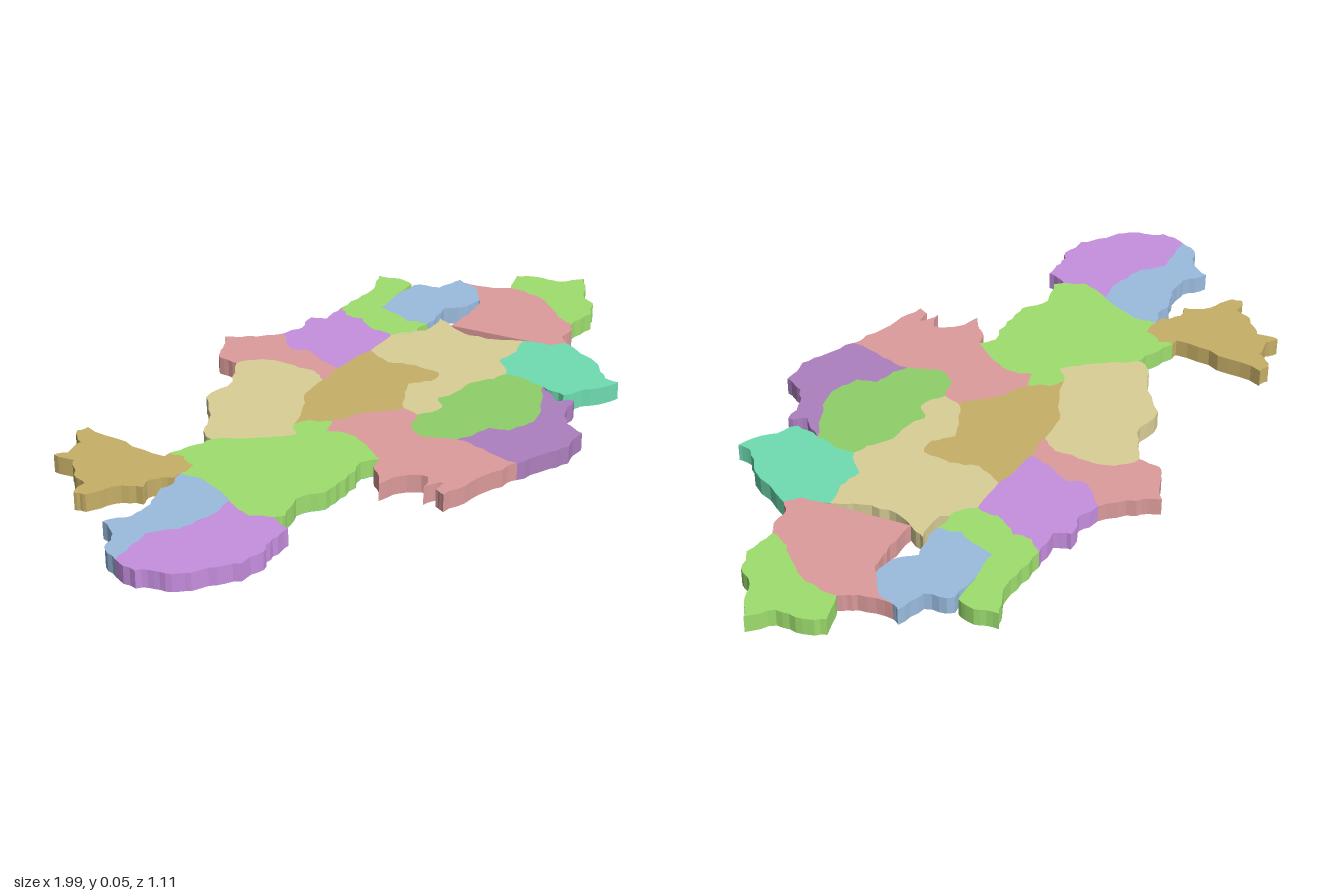
import * as THREE from 'three';

const HEIGHT = 0.05;
const OCHRE = 0xc8b068, SAND = 0xdacf97, PINK = 0xdd9c9c, GREEN = 0x9fdf6f, LEAF = 0x8fd06a,
  BLUE = 0x9bbde0, LILAC = 0xc78fe0, PURPLE = 0xae80c0, MINT = 0x70ddb2;

// Border lines as x, z pairs in hundredths; neighbouring districts share them.
const borders = {
  // north-west island, west coast and their neighbours
  AD: [-53, -25, -52, -21, -54, -16, -59, -16],
  Aout: [-59, -16, -62, -16, -66, -20, -70, -19, -74, -25, -81, -28, -82, -31, -77, -32, -76, -36,
    -73, -39, -70, -42, -71, -48, -68, -46, -62, -47, -58, -52, -55, -51, -55, -38, -55, -25, -53, -25],
  BD: [-59, -16, -58, -10, -60, -3, -62, 2],
  Bout: [-59, -16, -64, -14, -68, -15, -75, -12, -82, -12, -88, -16, -91, -10, -96, -8, -99, -2],
  BC: [-99, -2, -93, -3, -86, -4, -80, 1, -72, 3, -66, 3, -62, 2],
  CD: [-62, 2, -64, 6, -65, 11, -62, 16],
  Cout: [-62, 16, -64, 22, -70, 22, -76, 24, -83, 23, -89, 18, -94, 15, -97, 10, -100, 5, -99, -2],
  Dtop: [-53, -25, -47, -23, -41, -21],
  Dbot: [-62, 16, -60, 18, -52, 15, -45, 19, -37, 19, -28, 17, -24, 20],
  DE: [-41, -21, -32, -10, -26, -5, -22, -9],
  DF: [-22, -9, -18, -7, -15, -2],
  DG: [-15, -2, -20, 0, -18, 6, -20, 13, -24, 20],
  // centre
  Eout: [-41, -21, -40, -24, -34, -28, -24, -37, -13, -37, -4, -43],
  EF: [-22, -9, -13, -13, -7, -17, 2, -18],
  EN: [-4, -43, 2, -39, 4, -32, 5, -23, 2, -18],
  FN: [2, -18, 10, -19],
  FO: [10, -19, 24, -18],
  FH: [24, -18, 21, -10, 24, -3, 24, 5, 19, 6, 14, 2, 8, 5, 2, 9],
  FG: [2, 9, -1, 7, -8, 1, -15, -2],
  // south
  GH: [2, 9, 1, 14],
  GI: [1, 14, -5, 16, -8, 22, -5, 27, -4, 30],
  GJ: [-4, 30, -4, 38, -5, 49],
  Gout: [-5, 49, -10, 48, -20, 45, -29, 43, -28, 40, -24, 40, -29, 37, -24, 35, -28, 29, -34, 27,
    -29, 22, -24, 20],
  HI: [1, 14, 8, 17, 12, 13, 18, 15, 24, 15, 30, 19, 34, 20],
  IK: [34, 20, 35, 26, 34, 32],
  IJ: [34, 32, 27, 36, 22, 39, 14, 40, 8, 38, 6, 33, 0, 32, -4, 30],
  Jout: [34, 32, 29, 39, 32, 43, 24, 45, 20, 48, 18, 54, 10, 55, 3, 52, -5, 49],
  Kout: [34, 32, 33, 39, 40, 43, 48, 47, 48, 43, 54, 37, 60, 23],
  HK: [34, 20, 40, 14, 47, 15, 54, 13],
  KL: [54, 13, 56, 20, 60, 23],
  // east
  HL: [54, 13, 51, 8, 48, -1, 50, -9],
  Hout: [50, -9, 52, -14, 43, -13, 35, -19],
  HO: [35, -19, 24, -18],
  Lgap: [50, -9, 59, -9, 64, -10, 69, -12],
  LQ: [69, -12, 75, -17, 76, -22],
  Lr: [76, -22, 78, -13, 81, -9],
  LM: [81, -9, 81, 0, 77, 7, 73, 12, 71, 18],
  Lbot: [71, 18, 68, 20, 64, 20, 60, 23],
  Mout: [81, -9, 89, -12, 92, -7, 93, 0, 99, 5, 95, 8, 89, 11, 86, 16, 80, 19, 71, 18],
  // north-east
  Nout: [-4, -43, -4, -49, 1, -52, 7, -56, 11, -51, 18, -44],
  NO: [18, -44, 12, -37, 14, -32, 11, -25, 10, -19],
  Otop: [18, -44, 24, -42, 31, -44, 33, -40, 41, -41],
  OP: [41, -41, 38, -37, 39, -32, 35, -25, 35, -19],
  Ptop: [41, -41, 51, -41, 59, -42, 65, -45, 67, -39, 66, -34, 56, -33],
  PQ: [56, -33, 48, -32, 47, -25, 45, -21, 47, -15],
  Pbot: [47, -15, 40, -15, 35, -19],
  Qtop: [56, -33, 66, -33, 69, -26, 77, -24, 76, -22],
  Qbot: [69, -12, 62, -13, 58, -17, 51, -15, 47, -15],
};

// Each district: name, colour and the borders around it ('-' runs one backwards).
const districts = [
  ['northWestDistrict', OCHRE, 'AD Aout'],
  ['upperWestDistrict', BLUE, 'Bout BC -BD'],
  ['lowerWestDistrict', LILAC, 'BC CD Cout'],
  ['midWestDistrict', GREEN, 'Dtop DE DF DG -Dbot -CD -BD -AD'],
  ['northDistrict', SAND, 'Eout EN -EF -DE'],
  ['centralDistrict', OCHRE, 'EF FN FO FH FG -DF'],
  ['southWestDistrict', PINK, '-FG GH GI GJ Gout -DG'],
  ['midEastDistrict', SAND, '-FH -HO -Hout -HL -HK -HI -GH'],
  ['innerSouthDistrict', LEAF, 'HI IK IJ -GI'],
  ['southDistrict', PURPLE, 'Jout -GJ -IJ'],
  ['southEastDistrict', MINT, 'HK KL -Kout -IK'],
  ['eastDistrict', PINK, 'Lgap LQ Lr LM Lbot -KL -HL'],
  ['farEastDistrict', GREEN, 'Mout -LM'],
  ['northTipDistrict', PINK, 'Nout NO -FN -EN'],
  ['innerNorthEastDistrict', LILAC, 'Otop OP HO -FO -NO'],
  ['northEastDistrict', GREEN, 'Ptop PQ Pbot -OP'],
  ['outerNorthEastDistrict', BLUE, 'Qtop -LQ Qbot -PQ'],
];

// Repeatable value in -1..1 from a position
function noise(x, z) {
  const s = Math.sin(x * 12.9898 + z * 78.233) * 43758.5453;
  return 2 * (s - Math.floor(s)) - 1;
}

// Midpoint displacement roughens a border into a ragged line
function roughen(points) {
  const out = [points[0]];
  for (let i = 1; i < points.length; i++) {
    const a = points[i - 1], b = points[i];
    const d = b.clone().sub(a), length = d.length();
    const mid = a.clone().add(b).multiplyScalar(0.5);
    const shift = noise(mid.x, mid.y) * Math.min(0.13 * length, 0.7) / length;
    out.push(new THREE.Vector2(mid.x - d.y * shift, mid.y + d.x * shift), b);
  }
  return out;
}

const lines = {};
for (const [key, list] of Object.entries(borders)) {
  const points = [];
  for (let i = 0; i < list.length; i += 2) points.push(new THREE.Vector2(list[i], -list[i + 1]));
  lines[key] = roughen(roughen(points));
}

function outline(route) {
  const points = [];
  for (const step of route.split(' ')) {
    const back = step[0] === '-';
    const line = lines[back ? step.slice(1) : step];
    points.push(...(back ? [...line].reverse() : line).slice(0, -1));
  }
  return new THREE.Shape(points.map((p) => p.clone().multiplyScalar(0.01)));
}

function slab(name, color, shape, bottom, top) {
  const geometry = new THREE.ExtrudeGeometry(shape, { depth: top - bottom, bevelEnabled: false });
  geometry.rotateX(-Math.PI / 2).translate(0, bottom, 0);
  const mesh = new THREE.Mesh(geometry, new THREE.MeshStandardMaterial({ color }));
  mesh.name = name;
  return mesh;
}

export function createModel() {
  const map = new THREE.Group();
  map.name = 'districtMap';
  for (const [name, color, route] of districts) {
    const shape = outline(route);
    // the large western district has a differently coloured underside
    const base = name === 'midWestDistrict' ? 0.001 : 0;
    if (base) map.add(slab('midWestUnderside', MINT, shape, 0, base));
    map.add(slab(name, color, shape, base, HEIGHT));
  }
  return map;
}
